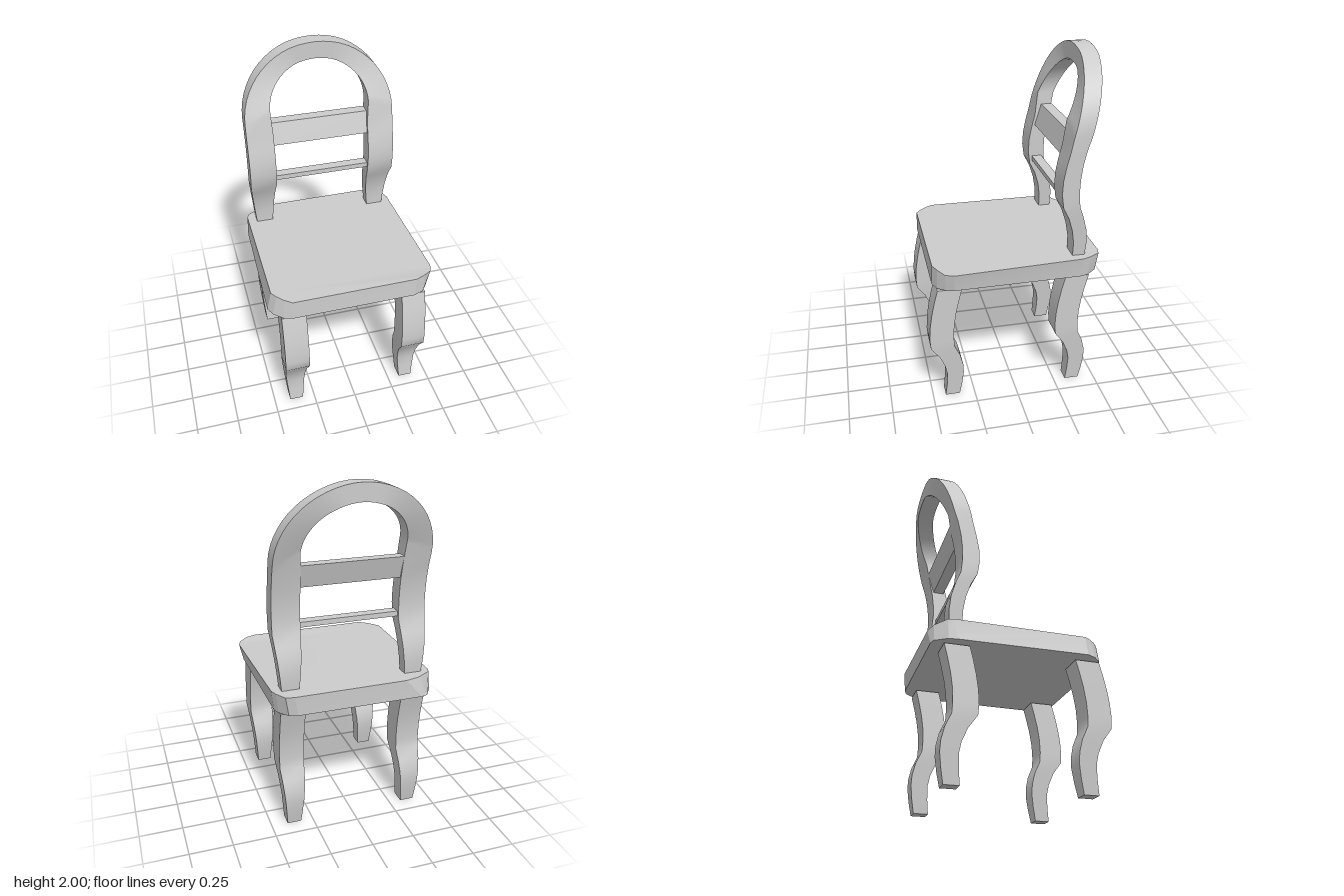
import * as THREE from 'three';

// Skin a list of cross-section rings: smooth along the length, sharp between sides, capped ends.
// Corners run counter-clockwise seen from the end of the sweep.
function sweep(rings) {
  const pos = [], idx = [], n = rings[0].length, m = rings.length;
  for (let k = 0; k < n; k++) {
    const base = pos.length / 3;
    for (const r of rings) pos.push(...r[k], ...r[(k + 1) % n]);
    for (let i = 0; i < m - 1; i++) {
      const a = base + i * 2;
      idx.push(a, a + 1, a + 3, a, a + 3, a + 2);
    }
  }
  for (const [ring, flip] of [[rings[0], true], [rings[m - 1], false]]) {
    const base = pos.length / 3;
    ring.forEach((p) => pos.push(...p));
    for (let k = 1; k < n - 1; k++) {
      if (flip) idx.push(base, base + k + 1, base + k);
      else idx.push(base, base + k, base + k + 1);
    }
  }
  const g = new THREE.BufferGeometry();
  g.setAttribute('position', new THREE.Float32BufferAttribute(pos, 3));
  g.setIndex(idx);
  g.computeVertexNormals();
  return g;
}

// Rectangular ring at height y
const rect = (x0, x1, y, zFront, zBack) =>
  [[x0, y, zFront], [x1, y, zFront], [x1, y, zBack], [x0, y, zBack]];

export function createModel() {
  const group = new THREE.Group();
  const grey = new THREE.MeshStandardMaterial({ color: 0xcccccc });
  grey.name = 'plainGrey';
  const add = (name, geo, z = 0) => {
    const mesh = new THREE.Mesh(geo, grey);
    mesh.name = name;
    mesh.position.z = z;
    group.add(mesh);
  };

  // Curved legs: height, front z, back z
  const legProfile = [
    [0, 0.425, 0.34], [0.08, 0.416, 0.325], [0.16, 0.413, 0.315], [0.22, 0.425, 0.318],
    [0.29, 0.455, 0.335], [0.36, 0.505, 0.367], [0.42, 0.51, 0.37], [0.5, 0.505, 0.366],
    [0.58, 0.493, 0.354], [0.66, 0.476, 0.336], [0.74, 0.455, 0.315],
  ];
  for (const [side, s] of [['Left', 1], ['Right', -1]]) {
    const rings = legProfile.map(([y, zf, zb]) => {
      const t = Math.min(1, y / 0.36);
      const a = s * (0.322 - 0.032 * t), b = s * (0.404 + 0.031 * t);
      return rect(Math.min(a, b), Math.max(a, b), y, zf, zb);
    });
    add('front' + side + 'Leg', sweep(rings));
    add('back' + side + 'Leg', sweep(rings), -0.745);
  }

  // Seat slab with clipped corners, leaning slightly to one side: x, z of the outlines
  const seatBottom = [
    [-0.498, 0.365], [-0.475, 0.414], [-0.42, 0.465], [-0.37, 0.478],
    [0.36, 0.478], [0.42, 0.455], [0.455, 0.41], [0.468, 0.365],
    [0.46, -0.38], [0.445, -0.42], [0.4, -0.475], [0.35, -0.49],
    [-0.39, -0.494], [-0.427, -0.484], [-0.473, -0.415], [-0.48, -0.365],
  ];
  const seatTop = [
    [-0.473, 0.365], [-0.45, 0.4], [-0.416, 0.44], [-0.37, 0.476],
    [0.37, 0.473], [0.425, 0.45], [0.475, 0.414], [0.494, 0.365],
    [0.473, -0.38], [0.457, -0.424], [0.42, -0.487], [0.37, -0.497],
    [-0.29, -0.494], [-0.37, -0.475], [-0.46, -0.42], [-0.473, -0.39],
  ];
  add('seat', sweep([
    seatBottom.map(([x, z]) => [x, 0.75, z]),
    seatTop.map(([x, z], i) => [x, i === 6 || i === 7 ? 0.858 : 0.868, z]),
  ]));

  // Back hoop: posts (height, front z, back z) joined by an arch that leans back
  const post = [
    [0.86, -0.33, -0.402], [0.95, -0.33, -0.407], [1.03, -0.318, -0.4], [1.11, -0.293, -0.378],
    [1.18, -0.257, -0.352], [1.26, -0.246, -0.345], [1.34, -0.25, -0.348],
    [1.42, -0.265, -0.358], [1.5, -0.285, -0.376],
  ];
  const postRings = (s) => post.map(([y, zf, zb]) => {
    const t = Math.min(1, (y - 0.86) / 0.32);
    return rect(s * (0.317 - 0.027 * t), s * (0.418 + 0.032 * t), y, zf, zb);
  });
  const arch = [];
  const steps = 28;
  for (let i = 0; i <= steps; i++) {
    const a = (Math.PI * i) / steps, c = Math.cos(a), s = Math.sin(a);
    const zf = -0.302 - 0.108 * Math.min(1, s / 0.93), zb = zf - 0.1;
    const inner = [0.298 * c, 1.64 + 0.26 * s], outer = [0.45 * c, 1.58 + 0.42 * s];
    arch.push([[...inner, zf], [...outer, zf], [...outer, zb], [...inner, zb]]);
  }
  add('backHoop', sweep([...postRings(1), ...arch, ...postRings(-1).reverse()]));

  // Cross rails between the posts
  add('upperRail', sweep([
    rect(-0.295, 0.295, 1.435, -0.284, -0.35), rect(-0.295, 0.295, 1.565, -0.324, -0.39),
  ]));
  add('lowerRail', sweep([
    rect(-0.295, 0.295, 1.2, -0.27, -0.33), rect(-0.295, 0.295, 1.23, -0.27, -0.33),
  ]));
  return group;
}
